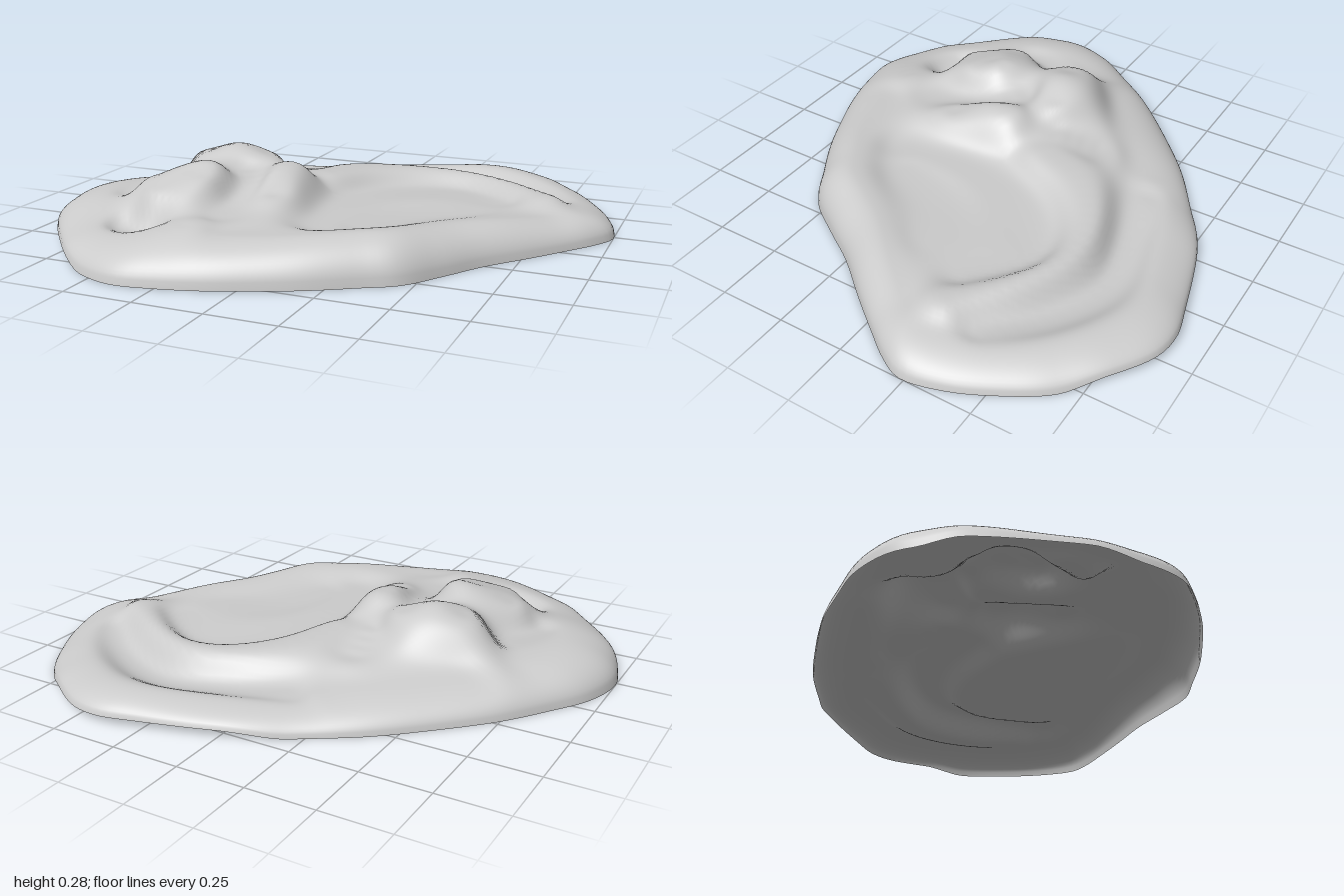
import * as THREE from 'three';

const { lerp, smoothstep } = THREE.MathUtils;

// Plan outline of the slab, [x, z]
const OUTLINE = [
  [1.0, -0.23], [0.97, -0.38], [0.9, -0.53], [0.8, -0.68], [0.6, -0.84], [0.5, -0.89], [0.4, -0.9],
  [0.27, -0.87], [0.0, -0.79], [-0.13, -0.73], [-0.24, -0.66], [-0.42, -0.54], [-0.58, -0.4], [-0.75, -0.23],
  [-0.87, -0.07], [-0.96, 0.07], [-1.0, 0.23], [-0.97, 0.36], [-0.9, 0.48], [-0.78, 0.63], [-0.65, 0.77],
  [-0.53, 0.85], [-0.4, 0.89], [-0.25, 0.87], [-0.1, 0.83], [0.05, 0.77], [0.2, 0.7], [0.35, 0.61],
  [0.46, 0.54], [0.56, 0.4], [0.65, 0.26], [0.78, 0.1], [0.88, -0.03], [0.96, -0.14],
];

// Crest and valley lines of the relief, each a path of [x, z, height]
const RIM_LINES = [
  // back rim
  [[-0.2, -0.63, 0.09], [0.1, -0.74, 0.095], [0.4, -0.82, 0.105], [0.65, -0.7, 0.1], [0.82, -0.5, 0.095], [0.9, -0.25, 0.1]],
  // front rim, raised along the straight side
  [[0.83, -0.06, 0.095], [0.66, 0.14, 0.125], [0.54, 0.32, 0.135], [0.42, 0.47, 0.152], [0.28, 0.56, 0.15], [0.1, 0.64, 0.14], [-0.1, 0.65, 0.135]],
  // front corner and left rim
  [[-0.25, 0.62, 0.158], [-0.35, 0.72, 0.13], [-0.5, 0.74, 0.11], [-0.68, 0.58, 0.11], [-0.76, 0.4, 0.135], [-0.82, 0.2, 0.135], [-0.76, -0.02, 0.12]],
  // back left shoulder
  [[-0.62, -0.22, 0.115], [-0.42, -0.4, 0.11], [-0.25, -0.5, 0.095]],
];
const HOLLOW_LINES = [
  // groove inside the back rim
  [[-0.12, -0.53, 0.075], [0.1, -0.57, 0.055], [0.35, -0.6, 0.045], [0.58, -0.51, 0.05], [0.77, -0.37, 0.075]],
  // broad basin
  [[0.12, 0.38, 0.11], [0.08, 0.12, 0.11], [0.13, -0.12, 0.105], [0.25, -0.29, 0.095], [0.4, -0.35, 0.09], [0.6, -0.2, 0.1]],
  [[0.22, 0.3, 0.105], [0.32, 0.08, 0.1], [0.5, -0.03, 0.105]],
  // valleys around the mounds
  [[-0.3, 0.12, 0.205], [-0.23, 0.2, 0.185], [-0.22, 0.36, 0.15], [-0.2, 0.5, 0.14]],
  [[-0.7, 0.3, 0.12], [-0.65, 0.1, 0.135]],
  [[-0.2, -0.12, 0.175], [-0.22, -0.28, 0.135]],
  // pit
  [[-0.56, 0.57, 0.07], [-0.47, 0.58, 0.065]],
];
const RIDGE_LINES = [
  // curved ridge round the basin
  [[-0.08, -0.12, 0.175], [-0.01, -0.3, 0.165], [0.16, -0.44, 0.15], [0.34, -0.47, 0.143], [0.55, -0.38, 0.145], [0.74, -0.24, 0.138]],
  // side bump
  [[-0.15, 0.08, 0.25], [-0.15, 0.17, 0.245], [-0.11, 0.3, 0.18]],
  // tall mound
  [[-0.51, 0.02, 0.245], [-0.4, -0.01, 0.287], [-0.29, -0.05, 0.24]],
  // second mound, running down to the lip over the pit
  [[-0.58, 0.3, 0.205], [-0.48, 0.28, 0.25], [-0.38, 0.26, 0.278], [-0.35, 0.36, 0.24]],
  [[-0.42, 0.35, 0.245], [-0.45, 0.41, 0.22], [-0.48, 0.46, 0.2]],
];

const GUIDES = [...RIM_LINES, ...HOLLOW_LINES, ...RIDGE_LINES].flatMap((line) => {
  const curve = new THREE.CatmullRomCurve3(line.map(([x, z, h]) => new THREE.Vector3(x, h, z)));
  return curve.getSpacedPoints(Math.max(2, Math.round(curve.getLength() / 0.05)));
});

// Smooth blend of the heights along the guide lines
function reliefHeight(x, z) {
  let sum = 0, total = 0;
  for (const g of GUIDES) {
    const w = 1 / ((x - g.x) ** 2 + (z - g.z) ** 2 + 0.0018) ** 2;
    sum += w * g.y;
    total += w;
  }
  return sum / total;
}

// The border hangs slightly clear of the ground at the back and the front corner
function borderLift(x, z) {
  const back = smoothstep(-z, 0.68, 0.8);
  const front = smoothstep(-x, 0.55, 0.7) * smoothstep(z, 0.3, 0.45);
  return 0.028 * Math.max(back, front);
}

function reliefGeometry(rings = 56, segments = 180) {
  const curve = new THREE.CatmullRomCurve3(OUTLINE.map(([x, z]) => new THREE.Vector3(x, 0, z)), true);
  const edge = curve.getSpacedPoints(segments).slice(0, segments);
  const positions = [0, reliefHeight(0, 0), 0];
  const index = [];

  // Rings crowd toward the border, where the shell rolls over to the ground
  for (let i = 1; i <= rings; i++) {
    const t = 1 - (1 - i / rings) ** 1.35;
    for (const p of edge) {
      const x = p.x * t, z = p.z * t;
      const width = lerp(0.23, 0.14, smoothstep(p.x + p.z, 0.55, 0.95));
      const inset = Math.min(((1 - t) * Math.hypot(p.x, p.z)) / width, 1);
      const roll = Math.sqrt(1 - (1 - inset) ** 2);
      const base = borderLift(p.x, p.z);
      positions.push(x, base + (reliefHeight(x, z) - base) * roll, z);
    }
  }
  for (let j = 0; j < segments; j++) {
    const k = (j + 1) % segments;
    index.push(0, 1 + j, 1 + k);
    for (let i = 0; i < rings - 1; i++) {
      const a = 1 + i * segments, b = a + segments;
      index.push(a + j, b + j, b + k, a + j, b + k, a + k);
    }
  }
  const geometry = new THREE.BufferGeometry();
  geometry.setAttribute('position', new THREE.Float32BufferAttribute(positions, 3));
  geometry.setIndex(index);
  geometry.computeVertexNormals();
  return geometry;
}

export function createModel() {
  const group = new THREE.Group();
  group.name = 'reliefSlab';
  // Open-bottomed shell
  const shell = new THREE.Mesh(
    reliefGeometry(),
    new THREE.MeshStandardMaterial({ color: 0xcccccc, side: THREE.DoubleSide }),
  );
  shell.name = 'reliefShell';
  group.add(shell);
  return group;
}
